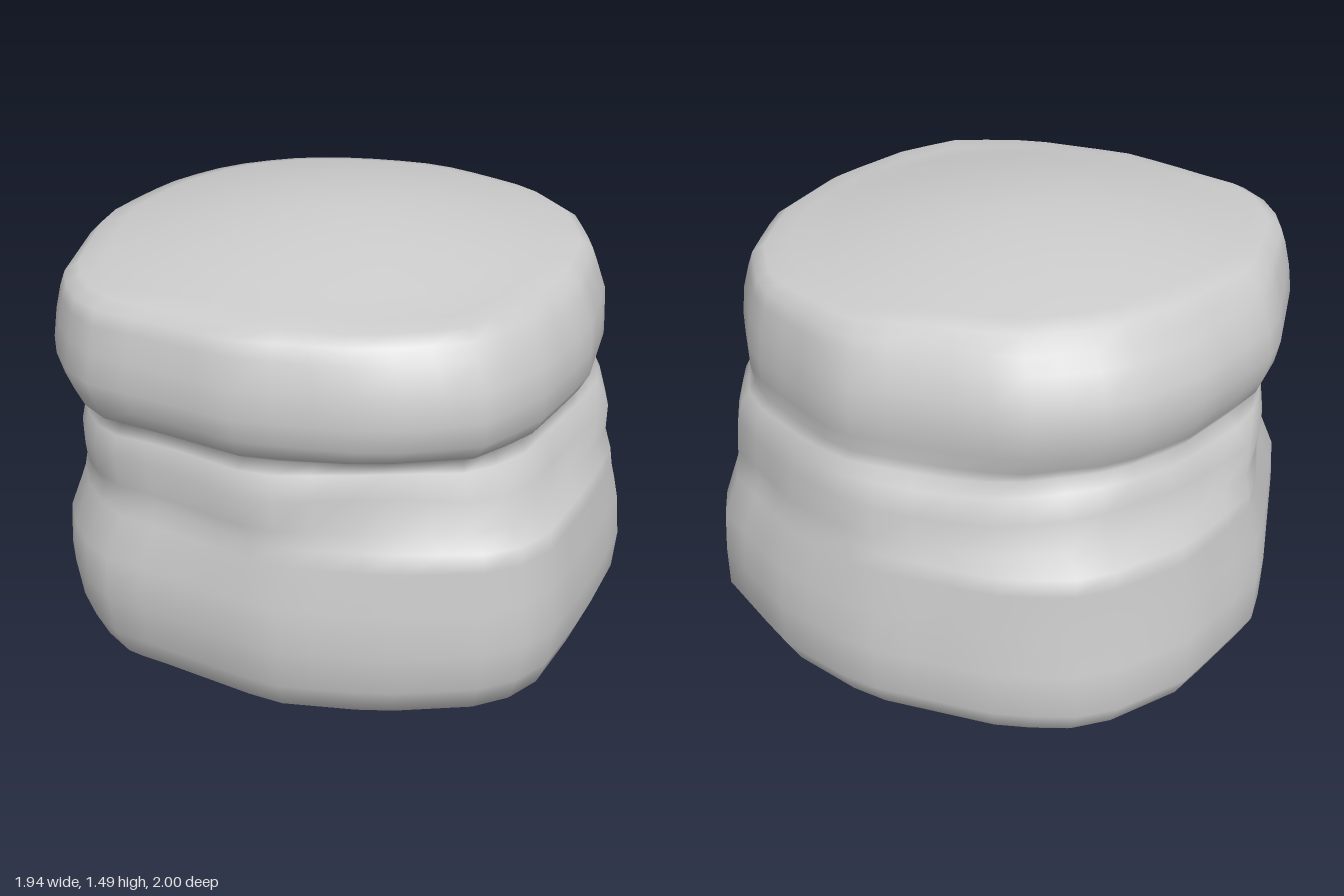
import * as THREE from 'three';

const SEG = 48;

// Plan outlines as [x, z], ordered by angle from +x towards +z
const LOWER = [[0.97, 0], [0.93, 0.17], [0.68, 0.63], [0.4, 0.82], [0.09, 0.99], [-0.08, 0.99], [-0.4, 0.83], [-0.66, 0.62],
  [-0.97, 0.08], [-0.94, -0.2], [-0.61, -0.74], [-0.26, -0.94], [0.07, -1], [0.33, -0.9], [0.7, -0.62], [0.87, -0.35]];
const UPPER = [[0.83, 0], [0.8, 0.22], [0.66, 0.49], [0.4, 0.73], [0.1, 0.88], [-0.13, 0.92], [-0.4, 0.81], [-0.7, 0.54],
  [-0.97, 0.08], [-0.93, -0.2], [-0.66, -0.6], [-0.32, -0.78], [-0.05, -0.85], [0.24, -0.79], [0.68, -0.47], [0.82, -0.1]];

// Side profile: y, reach to -x, +x, +z, -z
const RINGS = [
  [0.11, 0.86, 0.86, 0.83, 0.90],
  [0.16, 0.91, 0.92, 0.94, 0.95],
  [0.25, 0.95, 0.97, 0.975, 1.00],
  [0.39, 0.97, 0.97, 1.00, 0.98],
  [0.53, 0.96, 0.96, 0.98, 0.96],
  [0.66, 0.90, 0.91, 0.97, 0.945],
  [0.72, 0.885, 0.89, 0.96, 0.94],
  [0.76, 0.895, 0.895, 0.89, 0.87],
  [0.86, 0.90, 0.88, 0.875, 0.85],
  [0.93, 0.885, 0.865, 0.82, 0.82],
  [0.965, 0.86, 0.84, 0.81, 0.79],
  [1.00, 0.92, 0.82, 0.87, 0.805],
  [1.06, 0.95, 0.83, 0.92, 0.83],
  [1.13, 0.97, 0.83, 0.92, 0.84],
  [1.22, 0.955, 0.82, 0.92, 0.835],
  [1.30, 0.94, 0.80, 0.87, 0.78],
  [1.345, 0.925, 0.785, 0.845, 0.75],
];

// Distance from the centre to an outline along angle a
function reach(outline, a) {
  const dx = Math.cos(a), dz = Math.sin(a);
  let best = 0;
  outline.forEach(([x1, z1], i) => {
    const [x2, z2] = outline[(i + 1) % outline.length];
    const ex = x2 - x1, ez = z2 - z1;
    const den = dx * ez - dz * ex;
    if (Math.abs(den) < 1e-9) return;
    const r = (x1 * ez - z1 * ex) / den;
    const t = (x1 * dz - z1 * dx) / den;
    if (r > 0 && t >= -1e-6 && t <= 1 + 1e-6) best = Math.max(best, r);
  });
  return best;
}

// One closed cross-section, blended between outlines and fitted to its reach
function section([y, left, right, front, back]) {
  const k = THREE.MathUtils.smoothstep(y, 0.82, 1.04);
  const pts = [];
  for (let i = 0; i < SEG; i++) {
    const a = (i / SEG) * Math.PI * 2;
    const r = THREE.MathUtils.lerp(reach(LOWER, a), reach(UPPER, a), k);
    pts.push([r * Math.cos(a), r * Math.sin(a)]);
  }
  const xs = pts.map(p => p[0]), zs = pts.map(p => p[1]);
  const x1 = Math.max(...xs), x0 = -Math.min(...xs), z1 = Math.max(...zs), z0 = -Math.min(...zs);
  return pts.map(([x, z], i) => {
    // Crumpled waist: fuller between the axes, with a wandering fold
    const a = (i / SEG) * Math.PI * 2;
    const fold = Math.exp(-(((y - 0.86) / 0.13) ** 2));
    const lift = fold * (0.01 * Math.sin(3 * a + 1) + 0.01 * Math.sin(7 * a));
    const bulge = 1 + fold * (0.03 * Math.sin(2 * a) ** 2 + 0.008 * Math.sin(8 * a + 9 * y));
    return [x * bulge * (x > 0 ? right / x1 : left / x0), y + lift, z * bulge * (z > 0 ? front / z1 : back / z0)];
  });
}

// Uneven underside with two low spots
function underside(x, z) {
  const d = (x - 0.1) ** 2 / 0.75 + (z - 0.3) ** 2 / (z > 0.3 ? 0.3 : 0.6);
  const foot = Math.exp(-((x + 0.5) ** 2 + (z + 0.55) ** 2) / 0.07);
  return Math.max(0, 0.1 * Math.min(1, d) - 0.06 * foot);
}

// Gently domed top
function topHeight(x, z) {
  const d2 = ((x + 0.05) ** 2 + (z + 0.06) ** 2) / 0.64;
  return 1.37 + 0.12 * Math.max(0, 1 - d2) ** 1.3;
}

export function createModel() {
  const body = RINGS.map(section);
  const shrink = (ring, s, height) => ring.map(([x, , z]) => [x * s, height(x * s, z * s), z * s]);
  const first = body[0], last = body[body.length - 1];
  const loops = [
    ...[0.2, 0.4, 0.6, 0.78, 0.92].map(s => shrink(first, s, underside)),
    ...body,
    ...[0.95, 0.86, 0.72, 0.56, 0.4, 0.24, 0.1].map(s => shrink(last, s, topHeight)),
  ];

  const pos = loops.flat(2);
  pos.push(0, underside(0, 0), 0, 0, topHeight(0, 0), 0);
  const bottom = loops.length * SEG, top = bottom + 1;
  const index = [];
  for (let i = 0; i < SEG; i++) {
    const n = (i + 1) % SEG;
    for (let j = 0; j < loops.length - 1; j++) {
      const a = j * SEG + i, b = j * SEG + n, c = a + SEG, d = b + SEG;
      index.push(a, c, b, b, c, d);
    }
    const e = (loops.length - 1) * SEG;
    index.push(bottom, i, n, top, e + n, e + i);
  }

  const geo = new THREE.BufferGeometry();
  geo.setAttribute('position', new THREE.Float32BufferAttribute(pos, 3));
  geo.setIndex(index);
  geo.computeVertexNormals();

  const bun = new THREE.Mesh(geo, new THREE.MeshStandardMaterial({ color: 0xcccccc }));
  bun.name = 'bun';
  const group = new THREE.Group();
  group.name = 'pastry';
  group.add(bun);
  return group;
}
